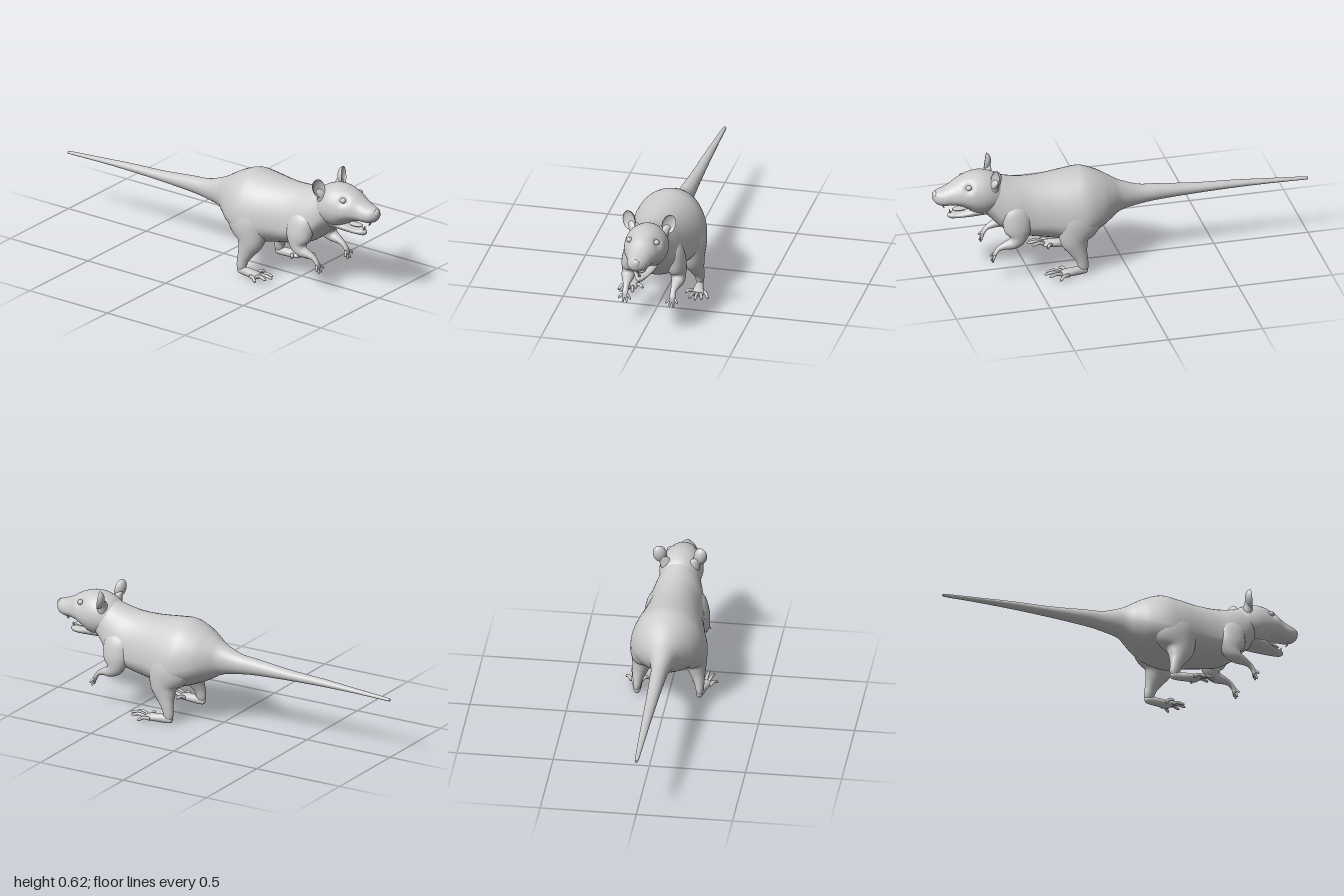
import * as THREE from 'three';

const material = new THREE.MeshStandardMaterial({ color: 0xcccccc });
const V = (x, y, z) => new THREE.Vector3(x, y, z);
const smooth = pts => new THREE.CatmullRomCurve3(pts, false, 'catmullrom', 0.5);

function addMesh(parent, name, geometry) {
  const mesh = new THREE.Mesh(geometry, material);
  mesh.name = name;
  parent.add(mesh);
  return mesh;
}

// Closed smooth skin over rings of equal size
function skin(rings) {
  const n = rings[0].length, pos = [], index = [];
  rings.forEach(ring => ring.forEach(p => pos.push(p.x, p.y, p.z)));
  for (let i = 0; i < rings.length - 1; i++) {
    for (let j = 0; j < n; j++) {
      const a = i * n + j, b = i * n + (j + 1) % n;
      index.push(a, b, a + n, b, b + n, a + n);
    }
  }
  [0, rings.length - 1].forEach((r, end) => {
    const c = rings[r].reduce((s, p) => s.add(p), V(0, 0, 0)).divideScalar(n);
    const k = pos.length / 3;
    pos.push(c.x, c.y, c.z);
    for (let j = 0; j < n; j++) {
      const a = r * n + j, b = r * n + (j + 1) % n;
      if (end) index.push(a, b, k);
      else index.push(b, a, k);
    }
  });
  const g = new THREE.BufferGeometry();
  g.setAttribute('position', new THREE.Float32BufferAttribute(pos, 3));
  g.setIndex(index);
  g.computeVertexNormals();
  return g;
}

// Stations along z: [z, top, height of greatest width, bottom, half width]
function trunk(stations, sides = 40, shape = p => p) {
  const heights = smooth(stations.map(s => V(s[1], s[2], s[3])));
  const widths = smooth(stations.map(s => V(s[0], s[4], 0)));
  const steps = (stations.length - 1) * 5, rings = [];
  for (let i = 0; i <= steps; i++) {
    const h = heights.getPoint(i / steps), w = widths.getPoint(i / steps), ring = [];
    for (let j = 0; j < sides; j++) {
      const a = j / sides * Math.PI * 2, s = Math.sin(a);
      ring.push(shape(V(w.y * Math.cos(a), h.y + s * (s > 0 ? h.x - h.y : h.y - h.z), w.x)));
    }
    rings.push(ring);
  }
  return skin(rings);
}

// Stations along a bent path: [x, y, z, radius across, radius in depth]
function limb(stations, side = 1, sides = 16) {
  const path = smooth(stations.map(s => V(s[0] * side, s[1], s[2])));
  const radii = smooth(stations.map(s => V(s[3], s[4] ?? s[3], 0)));
  const steps = (stations.length - 1) * 5, rings = [];
  for (let i = 0; i <= steps; i++) {
    const c = path.getPoint(i / steps), t = path.getTangent(i / steps), r = radii.getPoint(i / steps);
    const u = V(1, 0, 0).addScaledVector(t, -t.x).normalize();
    const v = t.clone().cross(u), ring = [];
    for (let j = 0; j < sides; j++) {
      const a = j / sides * Math.PI * 2;
      ring.push(c.clone().addScaledVector(u, r.x * Math.cos(a)).addScaledVector(v, r.y * Math.sin(a)));
    }
    rings.push(ring);
  }
  return skin(rings);
}

// Digit with a raised knuckle and a fine tip
function digit(base, tip, r, lift, side) {
  const at = k => base.map((b, i) => b + (tip[i] - b) * k);
  const mid = at(0.5);
  mid[1] += lift;
  return limb([[...base, r * 1.15], [...mid, r], [...at(0.9), r * 0.75], [...tip, r * 0.2]], side, 8);
}

function ellipsoid(parent, name, p, s) {
  const mesh = addMesh(parent, name, new THREE.SphereGeometry(1, 24, 16));
  mesh.position.set(...p);
  mesh.scale.set(...s);
  return mesh;
}

// Thin cupped ear: the front of a sphere is folded back into its rear half
function earShell() {
  const g = new THREE.SphereGeometry(1, 32, 24).rotateX(Math.PI / 2);
  const p = g.attributes.position;
  for (let i = 0; i < p.count; i++) {
    const z = p.getZ(i);
    p.setZ(i, -0.55 * Math.abs(z) + 0.17 * z);
  }
  g.computeVertexNormals();
  return g;
}

export function createModel() {
  const model = new THREE.Group();
  model.name = 'rat';

  // Tail, rump, back and neck in one skin
  addMesh(model, 'bodyAndTail', trunk([
    [-1, 0.322, 0.317, 0.312, 0.005], [-0.98, 0.327, 0.319, 0.311, 0.01],
    [-0.8, 0.34, 0.328, 0.315, 0.017], [-0.6, 0.355, 0.335, 0.315, 0.024],
    [-0.4, 0.365, 0.338, 0.31, 0.031], [-0.2, 0.385, 0.343, 0.3, 0.04],
    [-0.1, 0.395, 0.343, 0.288, 0.046], [0, 0.43, 0.35, 0.268, 0.07],
    [0.06, 0.465, 0.34, 0.235, 0.113], [0.12, 0.5, 0.32, 0.205, 0.158],
    [0.2, 0.53, 0.3, 0.175, 0.192], [0.28, 0.526, 0.29, 0.158, 0.192],
    [0.4, 0.515, 0.3, 0.18, 0.165], [0.5, 0.515, 0.3, 0.2, 0.15],
    [0.58, 0.525, 0.32, 0.222, 0.145], [0.65, 0.545, 0.36, 0.268, 0.125],
    [0.71, 0.565, 0.42, 0.33, 0.1], [0.76, 0.56, 0.45, 0.36, 0.08],
  ]));

  // Skull and upper muzzle, hollowed at the eyes
  const socket = p => {
    const d = Math.hypot((Math.abs(p.x) - 0.08) / 1.3, p.y - 0.527, p.z - 0.825);
    p.x *= 1 - 0.2 * Math.exp(-((d / 0.022) ** 2));
    return p;
  };
  const head = new THREE.Group();
  head.name = 'head';
  model.add(head);
  addMesh(head, 'skull', trunk([
    [0.62, 0.52, 0.45, 0.38, 0.07], [0.67, 0.56, 0.455, 0.36, 0.1],
    [0.73, 0.58, 0.46, 0.35, 0.113], [0.78, 0.58, 0.46, 0.358, 0.11],
    [0.82, 0.57, 0.46, 0.385, 0.1], [0.86, 0.553, 0.462, 0.405, 0.085],
    [0.9, 0.527, 0.458, 0.412, 0.068], [0.94, 0.508, 0.455, 0.412, 0.058],
    [0.97, 0.5, 0.455, 0.42, 0.045], [0.988, 0.488, 0.458, 0.435, 0.027],
    [0.997, 0.472, 0.46, 0.45, 0.008],
  ], 56, socket));
  addMesh(head, 'lowerJaw', trunk([
    [0.71, 0.42, 0.38, 0.34, 0.07], [0.8, 0.39, 0.368, 0.336, 0.062],
    [0.86, 0.365, 0.352, 0.331, 0.038], [0.9, 0.362, 0.35, 0.33, 0.023],
    [0.917, 0.355, 0.348, 0.34, 0.007],
  ], 28));
  ellipsoid(head, 'tongue', [0, 0.378, 0.85], [0.022, 0.009, 0.045]);
  ellipsoid(head, 'nose', [0, 0.47, 0.985], [0.022, 0.025, 0.015]);

  for (const s of [1, -1]) {
    const label = s > 0 ? 'left' : 'right';

    // Face details
    ellipsoid(head, label + 'Eye', [s * 0.072, 0.526, 0.822], [0.015, 0.014, 0.016]);
    addMesh(head, label + 'UpperTooth', limb(
      [[0.004, 0.42, 0.94, 0.004], [0.004, 0.405, 0.942, 0.004], [0.004, 0.393, 0.936, 0.002]], s, 8));
    addMesh(head, label + 'LowerTooth', limb(
      [[0.003, 0.35, 0.895, 0.004], [0.003, 0.365, 0.905, 0.004], [0.003, 0.38, 0.908, 0.0015]], s, 8));

    // Ear and its root
    const ear = addMesh(head, label + 'Ear', earShell());
    ear.position.set(s * 0.106, 0.573, 0.693);
    ear.rotation.set(-0.15, s * 0.3, -s * 0.22);
    ear.scale.set(0.036, 0.051, 0.045);
    addMesh(head, label + 'EarRoot', limb(
      [[0.06, 0.5, 0.69, 0.04, 0.03], [0.08, 0.535, 0.685, 0.03, 0.022], [0.1, 0.56, 0.674, 0.016, 0.008]], s));

    // Foreleg and paw
    addMesh(model, label + 'Foreleg', limb([
      [0.09, 0.41, 0.58, 0.03, 0.05], [0.108, 0.36, 0.578, 0.046, 0.074],
      [0.12, 0.29, 0.575, 0.05, 0.074], [0.128, 0.24, 0.578, 0.041, 0.052],
      [0.132, 0.212, 0.6, 0.034, 0.033], [0.128, 0.2, 0.64, 0.024, 0.021],
      [0.125, 0.185, 0.675, 0.015, 0.013], [0.125, 0.162, 0.695, 0.016, 0.01],
      [0.125, 0.14, 0.702, 0.018, 0.008], [0.125, 0.133, 0.703, 0.01, 0.004],
    ], s, 24));
    [[0.092, 0.13], [0.111, 0.112], [0.135, 0.11], [0.157, 0.132]].forEach(([x, y], i) =>
      addMesh(model, label + 'Finger', digit(
        [0.113 + i * 0.008, i % 3 ? 0.143 : 0.152, 0.701], [x, y, 0.714], 0.0062, 0.002, s)));

    // Hind leg and foot
    addMesh(model, label + 'HindLeg', limb([
      [0.09, 0.4, 0.22, 0.04, 0.05], [0.105, 0.35, 0.23, 0.072, 0.1],
      [0.12, 0.28, 0.255, 0.08, 0.12], [0.135, 0.2, 0.275, 0.062, 0.083],
      [0.148, 0.14, 0.262, 0.043, 0.052], [0.159, 0.09, 0.245, 0.028, 0.033],
      [0.163, 0.045, 0.236, 0.02, 0.027], [0.163, 0.018, 0.24, 0.012, 0.018],
    ], s, 28));
    addMesh(model, label + 'Foot', limb([
      [0.162, 0.02, 0.213, 0.005], [0.162, 0.022, 0.222, 0.015, 0.016],
      [0.165, 0.025, 0.26, 0.021, 0.022], [0.172, 0.026, 0.31, 0.028, 0.021],
      [0.178, 0.024, 0.35, 0.033, 0.016], [0.18, 0.024, 0.368, 0.022, 0.007],
    ], s, 20));
    [[0.111, 0.028, 0.355], [0.15, 0.034, 0.43], [0.184, 0.036, 0.45],
      [0.215, 0.032, 0.43], [0.238, 0.016, 0.38]].forEach((tip, i) =>
      addMesh(model, label + 'Toe', digit(
        [0.154 + i * 0.0125, 0.024, i % 4 ? 0.35 : 0.325], tip, 0.0088, 0.01, s)));
  }
  return model;
}
